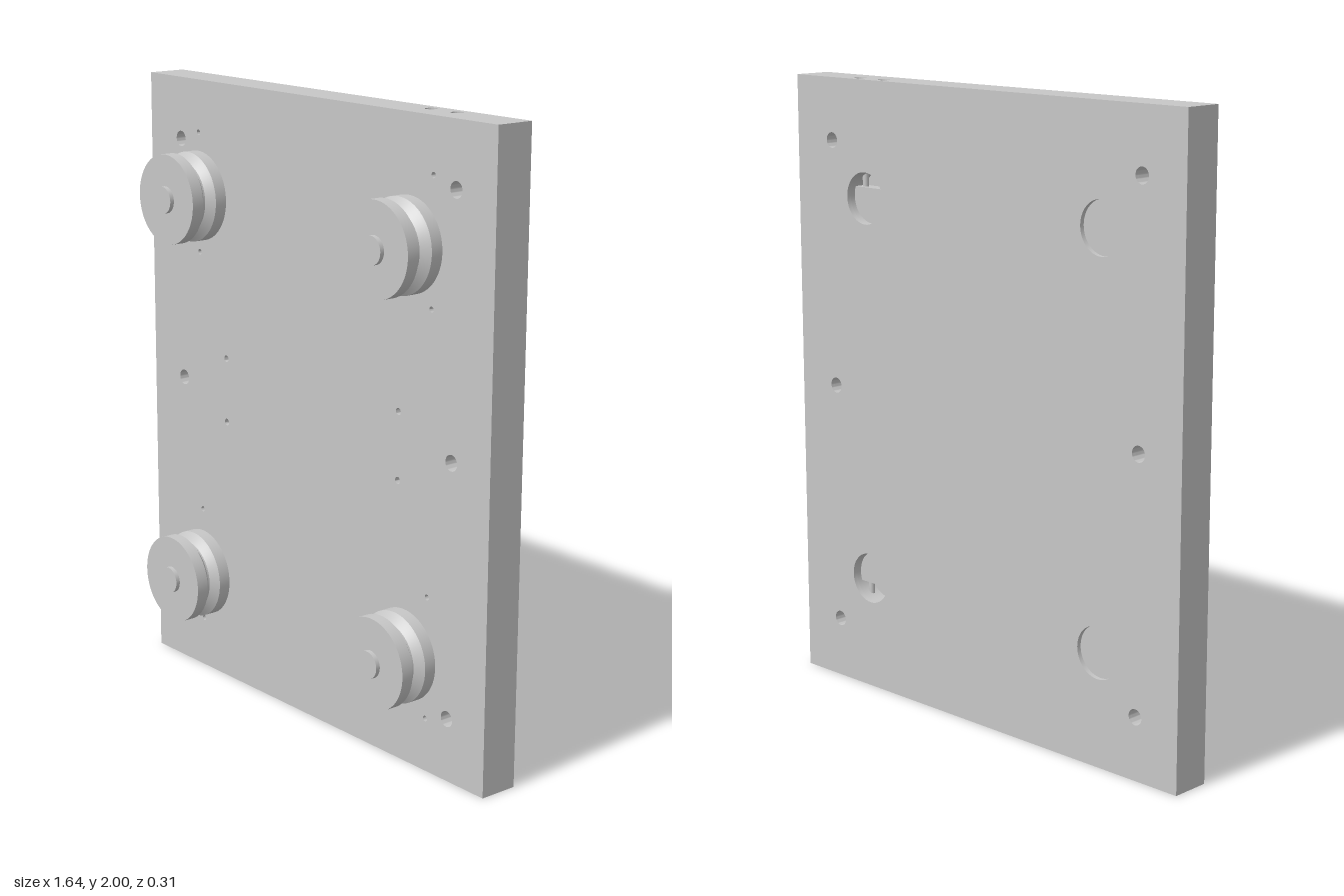
import * as THREE from 'three';
import { toCreasedNormals } from 'three/addons/utils/BufferGeometryUtils.js';

const W = 0.818, H = 2, BACK = -0.157, FRONT = -0.029;
const FLOOR = -0.08, LIP = -0.142; // pocket floor and shallow recess floor
const STRIP = 0.06, SCREW_Z = -0.118;

function holedRect(x0, y0, x1, y1, holes) {
  const s = new THREE.Shape();
  s.moveTo(x0, y0).lineTo(x1, y0).lineTo(x1, y1).lineTo(x0, y1).closePath();
  for (const [x, y, r] of holes) s.holes.push(new THREE.Path().absarc(x, y, r, 0, Math.PI * 2, true));
  return s;
}

const extrude = (shape, depth) => toCreasedNormals(
  new THREE.ExtrudeGeometry(shape, { depth, bevelEnabled: false, curveSegments: 24 }), 0.6);

export function createModel() {
  const grey = new THREE.MeshStandardMaterial({ color: 0xc7c7c7 });
  grey.name = 'light metal grey';
  const model = new THREE.Group();
  model.name = 'rollerPlate';

  const add = (geometry, name, parent = model) => {
    const mesh = new THREE.Mesh(geometry, grey);
    mesh.name = name;
    parent.add(mesh);
    return mesh;
  };

  // Hole positions as [x, y, radius]
  const through = [], small = [], pockets = [], recesses = [];
  for (const side of [-1, 1]) {
    for (const y of [0.2, 1, 1.8]) through.push([side * 0.655, y, 0.025]);
    for (const y of [0.17, 0.56, 1.44, 1.83]) small.push([side * 0.56, y, 0.009]);
    for (const y of [0.893, 1.107]) small.push([side * 0.422, y, 0.011]);
    pockets.push([0.503, 1 + side * 0.627, 0.083]);
    recesses.push([-0.505, 1 + side * 0.637, 0.083]);
  }

  // Plate in three layers so that the blind holes have floors
  const layer = (name, z0, z1, inset, holes) => {
    const g = extrude(holedRect(-W, inset, W, H - inset, holes), z1 - z0);
    add(g, name).position.z = z0;
  };
  layer('plateBack', BACK, LIP, 0, [...through, ...pockets, ...recesses]);
  layer('plateCore', LIP, FLOOR, STRIP, [...through, ...pockets]);
  layer('plateFront', FLOOR, FRONT, 0, [...through, ...small]);

  // End strips of the core with the adjusting screws
  const screwX = [0.448, 0.558];
  for (const y of [0, H - STRIP]) {
    const s = holedRect(-W, -FLOOR, W, -LIP, screwX.map(x => [x, -SCREW_Z, 0.019]));
    const strip = extrude(s, STRIP);
    strip.rotateX(-Math.PI / 2);
    add(strip, 'plateEnd').position.y = y;
    for (const x of screwX) {
      const ring = new THREE.Shape().absarc(0, 0, 0.019, 0, Math.PI * 2, false);
      ring.holes.push(new THREE.Path().absarc(0, 0, 0.009, 0, Math.PI * 2, true));
      const screw = extrude(ring, STRIP - 0.015);
      screw.rotateX(-Math.PI / 2);
      add(screw, 'adjustingScrew').position.set(x, y ? y : 0.015, SCREW_Z);
    }
  }

  // Sliding blocks and screw tips inside the two deep pockets
  for (const [x, y, r] of pockets) {
    const dir = y > 1 ? 1 : -1;
    const pocket = new THREE.Group();
    pocket.name = 'adjusterPocket';
    pocket.position.set(x, y, 0);
    if (dir < 0) pocket.rotation.z = Math.PI;
    model.add(pocket);
    const a = Math.asin(0.03 / r);
    const segment = new THREE.Shape().absarc(0, 0, r, Math.PI - a, Math.PI * 2 + a, false);
    add(extrude(segment, 0.045), 'slidingBlock', pocket).position.z = FLOOR - 0.045;
    for (const dx of [-0.05, 0.05]) {
      const tip = new THREE.CylinderGeometry(0.01, 0.01, 0.05, 16);
      add(tip, 'screwTip', pocket).position.set(dx, 0.05, SCREW_Z + 0.012);
    }
  }

  // Grooved wheels, each with a spacer hub and an axle end
  const profile = [
    [0, 0.013], [0.144, 0.013], [0.144, 0.053], [0.136, 0.059], [0.117, 0.075],
    [0.117, 0.081], [0.136, 0.097], [0.144, 0.103], [0.144, 0.143], [0, 0.143],
  ].map(([r, z]) => new THREE.Vector2(r, z));
  const tread = toCreasedNormals(new THREE.LatheGeometry(profile, 64).rotateX(Math.PI / 2), 0.4);
  const disc = (r, z0, z1) => new THREE.CylinderGeometry(r, r, z1 - z0, 48)
    .rotateX(Math.PI / 2).translate(0, 0, (z0 + z1) / 2);
  for (const [x, y] of [...pockets, ...recesses]) {
    const wheel = new THREE.Group();
    wheel.name = 'wheel';
    wheel.position.set(x, y, 0);
    add(tread, 'groovedWheel', wheel);
    add(disc(0.068, FRONT, 0.014), 'spacerHub', wheel);
    add(disc(0.043, 0.14, 0.157), 'axleEnd', wheel);
    model.add(wheel);
  }
  return model;
}
